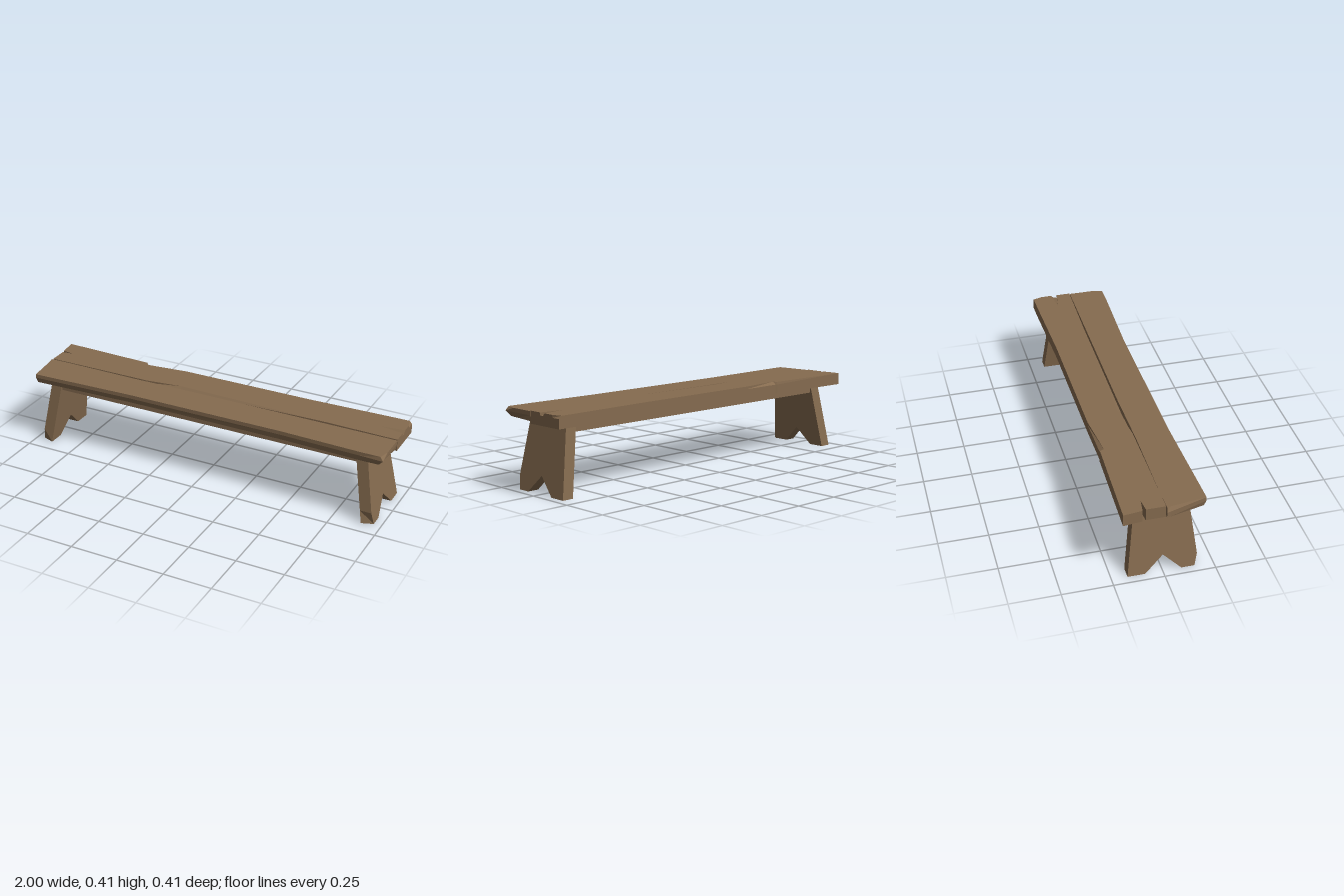
import * as THREE from 'three';

const wood = new THREE.MeshStandardMaterial({ color: 0x856b4f });
wood.name = 'weathered wood';

// Solid lofted through matching rings of [x, y, z], stacked upwards ('y') or towards +x ('x').
function loft(rings, axis) {
  const flat = (ring) => ring.map(([x, y, z]) => (axis === 'y' ? new THREE.Vector2(z, x) : new THREE.Vector2(y, z)));
  if (THREE.ShapeUtils.isClockWise(flat(rings[0]))) rings = rings.map((r) => [...r].reverse());
  const n = rings[0].length;
  const last = rings.length - 1;
  const index = [];
  for (let r = 0; r < last; r++) {
    for (let i = 0; i < n; i++) {
      const j = (i + 1) % n;
      const a = r * n + i, b = r * n + j;
      index.push(a, b, b + n, a, b + n, a + n);
    }
  }
  for (const [a, b, c] of THREE.ShapeUtils.triangulateShape(flat(rings[0]), [])) index.push(c, b, a);
  for (const [a, b, c] of THREE.ShapeUtils.triangulateShape(flat(rings[last]), [])) {
    index.push(a + last * n, b + last * n, c + last * n);
  }
  const geo = new THREE.BufferGeometry();
  geo.setAttribute('position', new THREE.Float32BufferAttribute(rings.flat(2), 3));
  geo.setIndex(index);
  const faceted = geo.toNonIndexed();
  faceted.computeVertexNormals();
  return faceted;
}

// Plank outline points: { p: [x, z] } with optional worn positions at the top or bottom.
function plank(points, heights) {
  const keys = ['bottom', 'p', 'top'];
  return loft(heights.map((y, k) => points.map((q) => {
    const [x, z] = q[keys[k]] ?? q.p;
    return [x, y, z];
  })), 'y');
}

export function createModel() {
  const bench = new THREE.Group();
  bench.name = 'bench';
  const add = (name, geo) => {
    const mesh = new THREE.Mesh(geo, wood);
    mesh.name = name;
    bench.add(mesh);
    return mesh;
  };

  // Back plank: split left end, chipped edges, cracked right end
  add('backPlank', plank([
    { p: [-0.995, -0.205] },
    { p: [-0.5, -0.19], top: [-0.5, -0.188] },
    { p: [-0.49, -0.187], top: [-0.49, -0.166] },
    { p: [-0.26, -0.19] },
    { p: [0.45, -0.19] },
    { p: [0.9, -0.202] },
    { p: [1, -0.203], top: [0.985, -0.203] },
    { p: [1, -0.155] },
    { p: [1, -0.1] },
    { p: [1, -0.085], top: [0.88, -0.085] },
    { p: [1, -0.066] },
    { p: [1, 0.008] },
    { p: [0.6, -0.001] },
    { p: [-0.2, -0.004], top: [-0.2, -0.023] },
    { p: [-0.4, 0.001] },
    { p: [-0.98, 0.001] },
    { p: [-0.98, -0.094] },
    { p: [-0.915, -0.101] },
    { p: [-0.985, -0.111] },
  ], [0.346, 0.394, 0.408]));

  // Front plank: slanted left end, worn lower edge and right corner
  add('frontPlank', plank([
    { p: [-0.96, 0.2], bottom: [-0.955, 0.19] },
    { p: [-0.4, 0.182], bottom: [-0.4, 0.17] },
    { p: [0.45, 0.182], bottom: [0.45, 0.175] },
    { p: [0.88, 0.197], bottom: [0.88, 0.19] },
    { p: [1, 0.203], bottom: [0.975, 0.19], top: [0.985, 0.198] },
    { p: [1, 0.14], bottom: [0.98, 0.14] },
    { p: [1, 0.011], bottom: [0.995, 0.011] },
    { p: [0.4, 0.007] },
    { p: [-0.1, 0.003] },
    { p: [-0.45, 0.003], top: [-0.45, 0.007] },
    { p: [-0.88, 0.002] },
    { p: [-1, 0.001], top: [-0.99, 0.004] },
    { p: [-0.995, 0.018], top: [-0.982, 0.022] },
  ], [0.356, 0.385, 0.405]));

  // Splayed legs with a notched foot and a chipped outer front corner
  const legProfile = [
    [0, 0.178], [0.065, 0.17], [0.35, 0.136], [0.347, -0.131],
    [0, -0.172], [0, -0.086], [0.088, 0.003], [0, 0.092],
  ];
  for (const side of [1, -1]) {
    const face = (offset, chip) => legProfile.map(([y, z], i) =>
      [side * (offset - y * 0.171), y, i === 0 ? z - chip : z]);
    const rings = [face(0.9, 0), face(0.96, 0.021)];
    add(side > 0 ? 'leftLeg' : 'rightLeg', loft(side > 0 ? rings : rings.reverse(), 'x'));
  }

  // Long rails under the seat
  for (const side of [1, -1]) {
    const rail = add(side > 0 ? 'frontRail' : 'backRail', new THREE.BoxGeometry(1.73, 0.044, 0.04));
    rail.position.set(0, 0.327, side * 0.105);
  }
  return bench;
}
